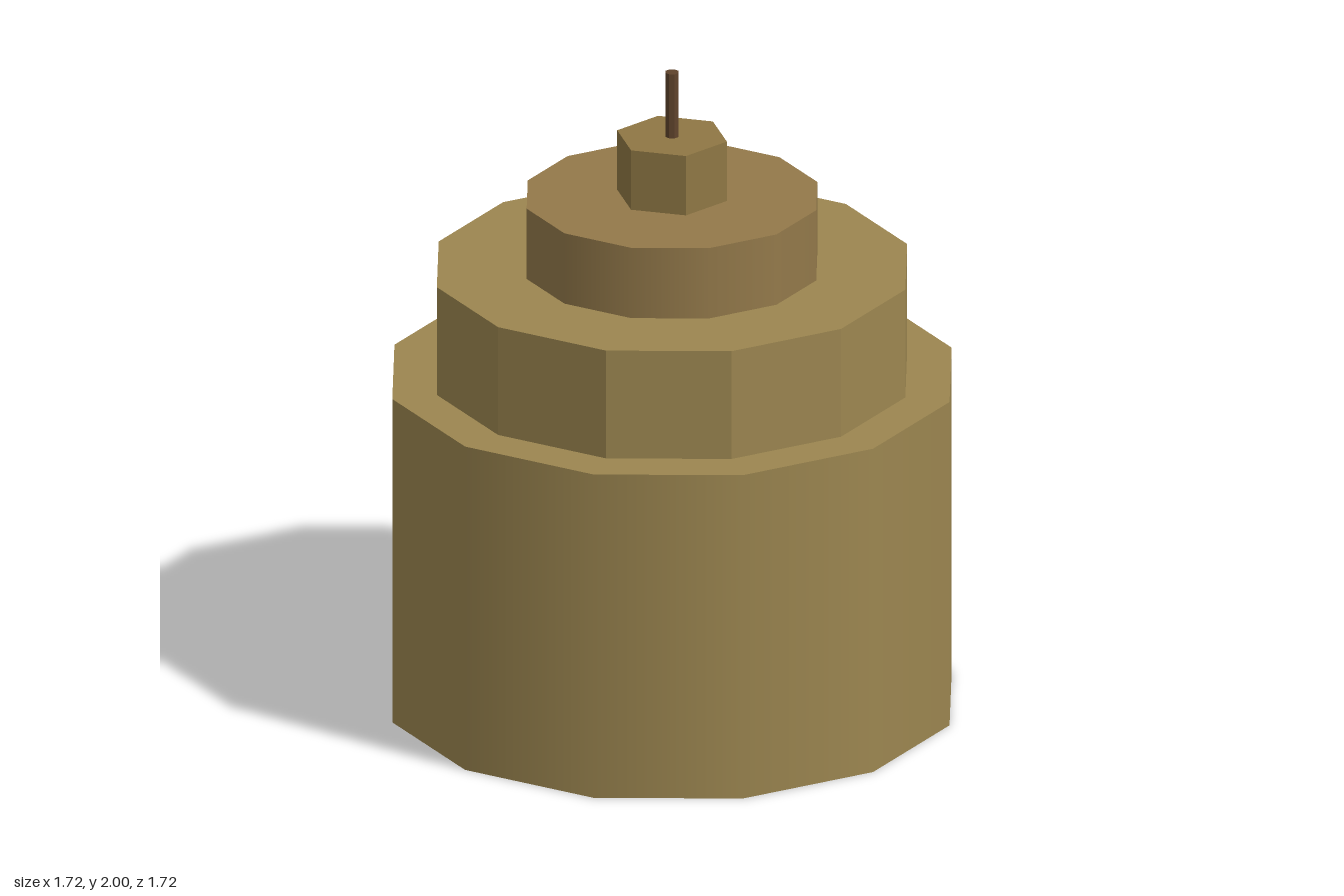
import * as THREE from 'three';

export function createModel() {
  const model = new THREE.Group();

  // Upright prism between two heights, with a corner pointing to the front
  function tier(name, radius, bottom, top, sides, color, flatShading) {
    const geometry = new THREE.CylinderGeometry(radius, radius, top - bottom, sides);
    const material = new THREE.MeshStandardMaterial({ color, flatShading });
    const mesh = new THREE.Mesh(geometry, material);
    mesh.name = name;
    mesh.position.y = (bottom + top) / 2;
    model.add(mesh);
    return mesh;
  }

  // Stacked body, widest at the bottom
  tier('baseTier', 0.86, 0, 1.035, 12, 0x9c8650, false);
  tier('middleTier', 0.723, 1.035, 1.38, 12, 0x9c8650, true);
  tier('upperTier', 0.447, 1.38, 1.605, 12, 0x93794a, false);
  tier('hexagonalCap', 0.17, 1.605, 1.795, 6, 0x8f7744, true);

  // Thin wick running through the whole stack
  const wick = tier('wick', 0.0215, 0, 2, 8, 0x5f432c, true);
  wick.rotation.y = Math.PI / 8;

  return model;
}
